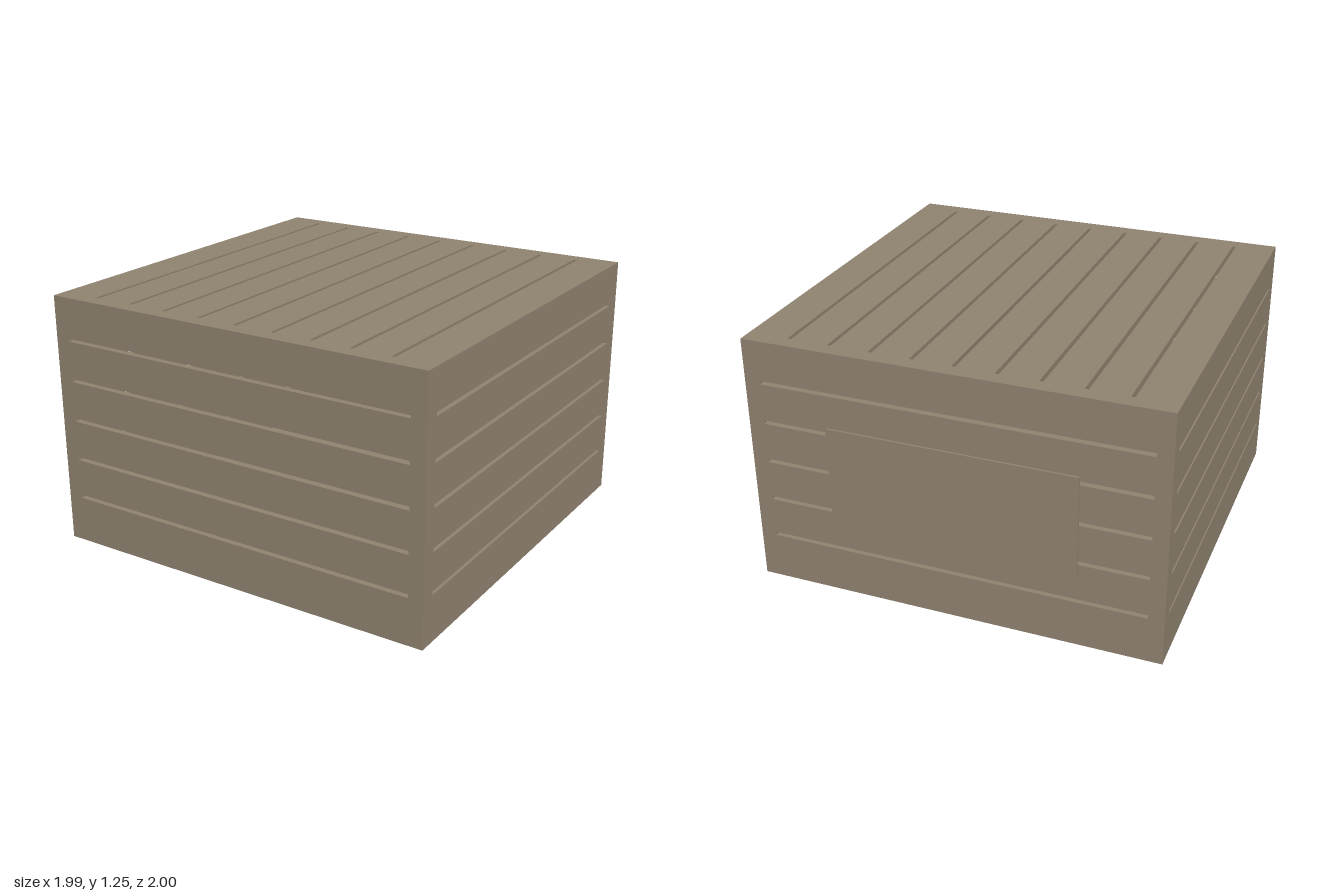
import * as THREE from 'three';

const W = 1.99, D = 1.99, H = 1.245; // outer size of the crate
const T = 0.03;                      // panel thickness
const SLOT = 0.018, HALF = 0.92;     // slot width and half length

const rect = (Target, x0, y0, x1, y1) => {
  const p = new Target();
  p.moveTo(x0, y0);
  p.lineTo(x1, y0);
  p.lineTo(x1, y1);
  p.lineTo(x0, y1);
  p.closePath();
  return p;
};

// Slotted panel whose outer face lies on z = 0 and looks towards +z
function slottedPanel(shape, slots) {
  for (const [x0, y0, x1, y1] of slots) shape.holes.push(rect(THREE.Path, x0, y0, x1, y1));
  const geo = new THREE.ExtrudeGeometry(shape, { depth: T, bevelEnabled: false });
  return geo.translate(0, 0, -T);
}

export function createModel() {
  const model = new THREE.Group();
  const taupe = new THREE.MeshStandardMaterial({ color: 0x8f826f });
  taupe.name = 'taupe';

  const crate = new THREE.Group();
  crate.name = 'crate';
  crate.position.z = 0.005;
  model.add(crate);

  const add = (name, geo, x, y, z) => {
    const mesh = new THREE.Mesh(geo, taupe);
    mesh.name = name;
    mesh.position.set(x, y, z);
    crate.add(mesh);
    return mesh;
  };

  // Walls with five horizontal slots each
  const wall = (width) => {
    const slots = [];
    for (let i = 0; i < 5; i++) {
      const y = 0.237 + i * 0.201;
      slots.push([-HALF, y - SLOT / 2, HALF, y + SLOT / 2]);
    }
    return slottedPanel(rect(THREE.Shape, -width / 2, 0, width / 2, H - T), slots);
  };
  add('frontWall', wall(W), 0, 0, D / 2);
  add('backWall', wall(W), 0, 0, -D / 2).rotation.y = Math.PI;
  add('leftWall', wall(D - 2 * T), W / 2, 0, 0).rotation.y = Math.PI / 2;
  add('rightWall', wall(D - 2 * T), -W / 2, 0, 0).rotation.y = -Math.PI / 2;

  // Top with nine slots running front to back
  const topSlots = [];
  for (let i = -4; i <= 4; i++) {
    const x = i * 0.198;
    topSlots.push([x - SLOT / 2, -HALF, x + SLOT / 2, HALF]);
  }
  const top = slottedPanel(rect(THREE.Shape, -W / 2, -D / 2, W / 2, D / 2), topSlots);
  add('topPanel', top, 0, H, 0).rotation.x = -Math.PI / 2;

  // Solid floor
  add('floor', new THREE.BoxGeometry(W - 2 * T, T, D - 2 * T), 0, T / 2, 0);

  // Plain plate on the back
  add('backPlate', new THREE.BoxGeometry(1.195, 0.498, 0.01), 0, H / 2, -D / 2 - 0.005);

  return model;
}
